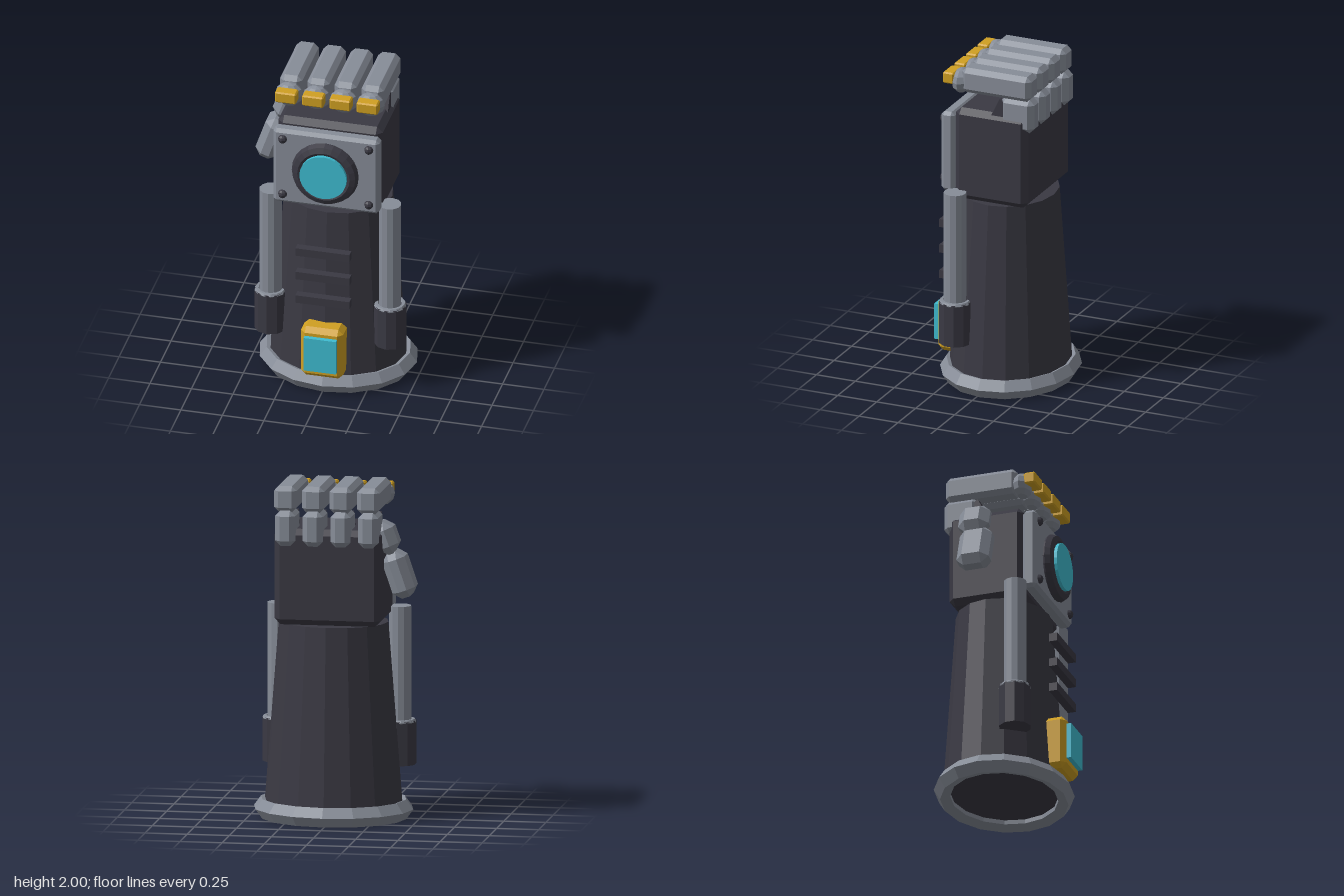
import * as THREE from 'three';
import { ConvexGeometry } from 'three/addons/geometries/ConvexGeometry.js';

function mat(name, color, flat = true) {
  const m = new THREE.MeshStandardMaterial({ color });
  m.name = name;
  m.flatShading = flat;
  return m;
}

// Box with flat chamfers on every edge
function chamferBox(w, h, d, c) {
  const pts = [];
  for (const x of [-1, 1]) for (const y of [-1, 1]) for (const z of [-1, 1]) {
    const X = x * w / 2, Y = y * h / 2, Z = z * d / 2;
    pts.push(
      new THREE.Vector3(X, Y - y * c, Z - z * c),
      new THREE.Vector3(X - x * c, Y, Z - z * c),
      new THREE.Vector3(X - x * c, Y - y * c, Z));
  }
  return new ConvexGeometry(pts);
}

export function createModel() {
  const model = new THREE.Group();
  model.name = 'mechanicalFist';
  const dark = mat('darkMetal', 0x3a3943);
  const grey = mat('greyMetal', 0x878d98);
  const gold = mat('goldPaint', 0xd0a022);
  const cyan = mat('cyanGlow', 0x3fbdd2);

  const CX = 0.005;
  function add(name, geometry, material, x, y, z) {
    const mesh = new THREE.Mesh(geometry, material);
    mesh.name = name;
    mesh.position.set(x + CX, y, z);
    model.add(mesh);
    return mesh;
  }

  // Forearm: oval tapered sleeve with a rolled rim at the base
  const arm = new THREE.CylinderGeometry(0.325, 0.412, 1.12, 16);
  arm.scale(1, 1, 0.855);
  add('forearm', arm, dark, 0, 0.61, -0.025);
  const rim = new THREE.TorusGeometry(0.412, 0.061, 5, 16);
  rim.rotateX(Math.PI / 2).scale(1, 1, 0.855);
  add('baseRim', rim, grey, 0, 0.06, -0.025);

  // Vent bars up the front
  for (const y of [0.62, 0.78, 0.94]) {
    add('ventBar', new THREE.BoxGeometry(0.325, 0.05, 0.05), dark, 0, y, 0.337);
  }

  // Control box with its screen
  add('controlBox', chamferBox(0.255, 0.33, 0.15, 0.03), gold, 0, 0.285, 0.322);
  add('controlScreen', new THREE.BoxGeometry(0.195, 0.22, 0.1), cyan, 0, 0.29, 0.375);

  // Side pistons
  for (const s of [-1, 1]) {
    add('pistonRod', new THREE.CylinderGeometry(0.067, 0.067, 0.74, 12), grey, s * 0.36, 0.865, 0.172);
    add('pistonSleeve', new THREE.CylinderGeometry(0.096, 0.096, 0.26, 10), dark, s * 0.36, 0.425, 0.17);
    const collar = new THREE.TorusGeometry(0.08, 0.016, 6, 14).rotateX(Math.PI / 2);
    add('pistonCollar', collar, grey, s * 0.36, 0.55, 0.17);
  }

  // Palm block and front plate
  add('palm', chamferBox(0.63, 0.57, 0.465, 0.035), dark, 0, 1.458, -0.032);
  add('frontPlate', chamferBox(0.64, 0.495, 0.085, 0.02), grey, 0, 1.462, 0.242);
  for (const x of [-0.26, 0.26]) for (const y of [1.278, 1.65]) {
    add('plateBolt', new THREE.SphereGeometry(0.028, 8, 6), dark, x, y, 0.283);
  }

  // Round emitter
  add('emitterRing', new THREE.TorusGeometry(0.158, 0.044, 8, 24), dark, 0, 1.46, 0.295);
  const lens = new THREE.CylinderGeometry(0.142, 0.142, 0.07, 24).rotateX(Math.PI / 2);
  add('emitterLens', lens, cyan, 0, 1.46, 0.317);

  // Four fingers, folded forward over the palm
  for (let i = 0; i < 4; i++) {
    const x = (i - 1.5) * 0.164;
    add('knuckleJoint', new THREE.BoxGeometry(0.098, 0.13, 0.1), dark, x, 1.755, -0.1).rotation.x = -0.45;
    add('fingerBase', chamferBox(0.12, 0.21, 0.215, 0.032), grey, x, 1.75, -0.192);
    add('fingerSegment', chamferBox(0.134, 0.155, 0.445, 0.028), grey, x, 1.922, -0.063);
    const joint = new THREE.SphereGeometry(0.084, 8, 6);
    joint.scale(1, 0.9, 0.68);
    add('fingertipJoint', joint, grey, x, 1.9, 0.177);
    add('fingertipCap', chamferBox(0.128, 0.07, 0.072, 0.008), gold, x, 1.921, 0.24);
  }

  // Thumb hanging on the right side
  add('thumbBase', chamferBox(0.13, 0.2, 0.19, 0.05), grey, -0.325, 1.685, -0.09).rotation.z = -0.35;
  add('thumbTip', chamferBox(0.14, 0.28, 0.2, 0.045), grey, -0.4, 1.465, -0.06).rotation.z = -0.33;

  return model;
}
